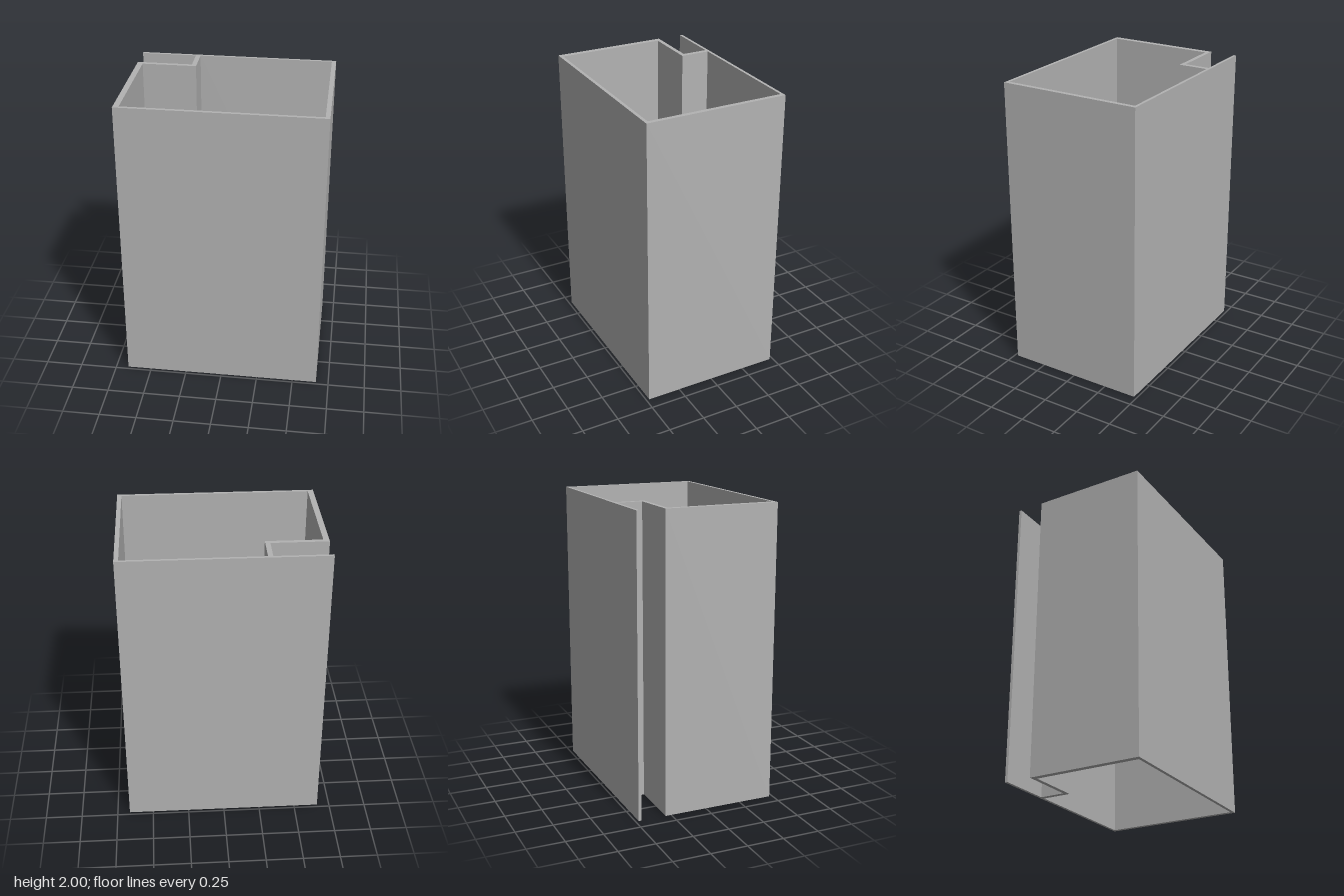
import * as THREE from 'three';

// Plan points are [x, z]; the extruded shape uses y = -z.
const toPoints = (plan) => plan.map(([x, z]) => new THREE.Vector2(x, -z));

export function createModel() {
  const group = new THREE.Group();
  group.name = 'hollowProfile';
  const grey = new THREE.MeshStandardMaterial({ color: 0xb2b2b2 });
  grey.name = 'plainGrey';

  // Outer outline: box with a slot behind the set-back corner and a rear fin
  const outline = new THREE.Shape(toPoints([
    [-0.665, 0.479], [0.665, 0.479], [0.665, -0.479], [-0.665, -0.479],
    [-0.665, -0.46], [-0.295, -0.46], [-0.295, -0.29], [-0.665, -0.29],
  ]));

  // Inner cavity, open at top and bottom
  outline.holes.push(new THREE.Path(toPoints([
    [-0.627, 0.457], [-0.627, -0.262], [-0.263, -0.262],
    [-0.263, -0.46], [0.636, -0.46], [0.636, 0.457],
  ])));

  const geometry = new THREE.ExtrudeGeometry(outline, { depth: 2, bevelEnabled: false });
  geometry.rotateX(-Math.PI / 2);

  const walls = new THREE.Mesh(geometry, grey);
  walls.name = 'walls';
  group.add(walls);
  return group;
}
